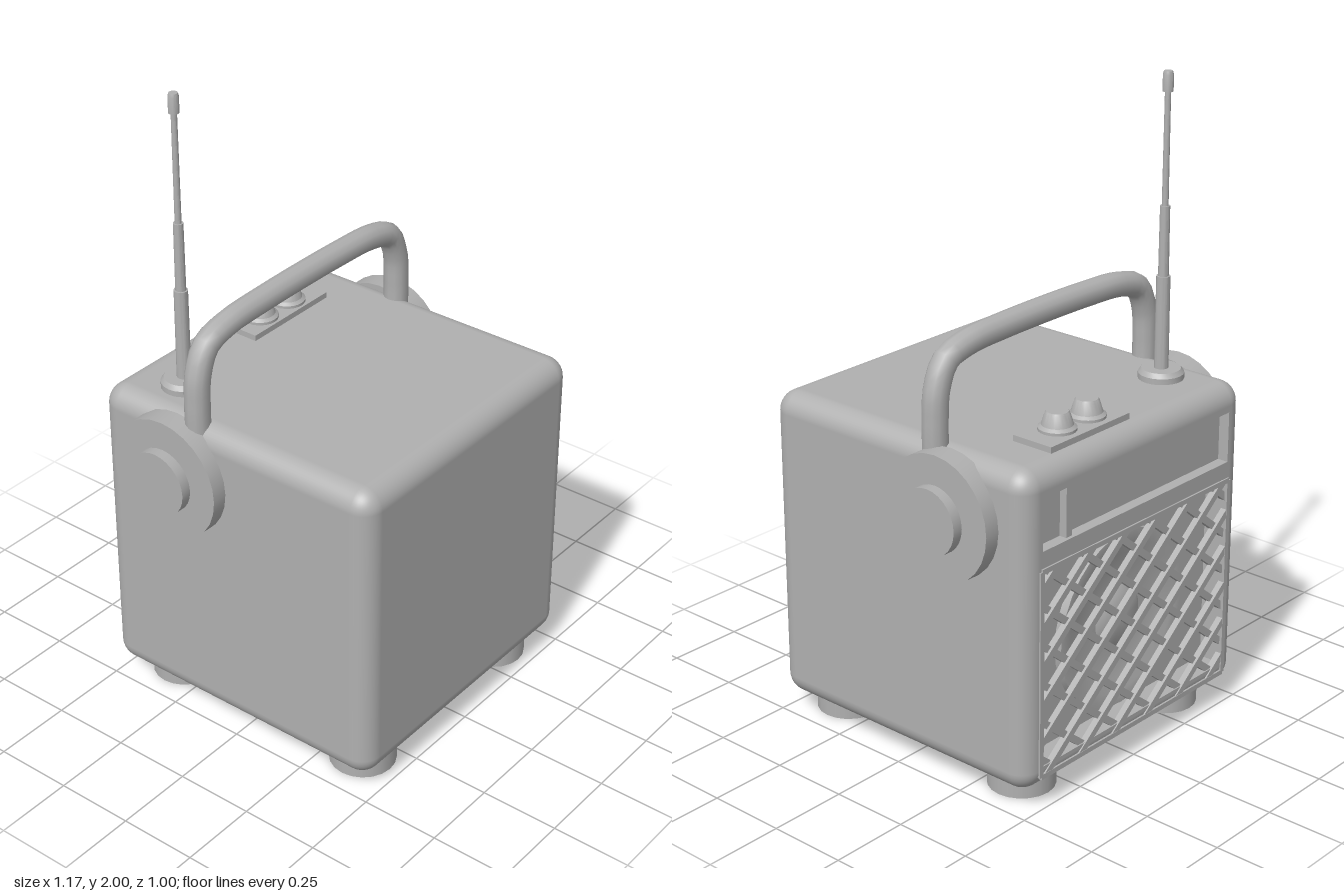
import * as THREE from 'three';
import { RoundedBoxGeometry } from 'three/addons/geometries/RoundedBoxGeometry.js';
import { toCreasedNormals } from 'three/addons/utils/BufferGeometryUtils.js';

const grey = new THREE.MeshStandardMaterial({ color: 0xb0b0b0 });
grey.name = 'plain grey';

function add(parent, name, geometry, x = 0, y = 0, z = 0) {
  const mesh = new THREE.Mesh(geometry, grey);
  mesh.name = name;
  mesh.position.set(x, y, z);
  parent.add(mesh);
  return mesh;
}

const box = (w, h, d) => new THREE.BoxGeometry(w, h, d);

// Turned part from [radius, height] pairs, with sharp edges kept
function turned(profile, sides = 24) {
  const points = profile.map(([r, y]) => new THREE.Vector2(r, y));
  return toCreasedNormals(new THREE.LatheGeometry(points, sides), 0.5);
}

// Rectangle outline, used as a shape or as a hole
function rectangle(Type, x, y0, y1) {
  const path = new Type();
  path.moveTo(-x, y0).lineTo(x, y0).lineTo(x, y1).lineTo(-x, y1).closePath();
  return path;
}

// Rounded case without its flat back face, which is replaced by the frame
function openCase() {
  const source = new RoundedBoxGeometry(1, 1, 1, 5, 0.065);
  const solid = source.index ? source.toNonIndexed() : source;
  const p = solid.attributes.position, n = solid.attributes.normal;
  const positions = [], normals = [];
  for (let i = 0; i < p.count; i += 3) {
    if ([0, 1, 2].every((k) => p.getZ(i + k) < -0.4999)) continue;
    for (let k = i; k < i + 3; k++) {
      positions.push(p.getX(k), p.getY(k), p.getZ(k));
      normals.push(n.getX(k), n.getY(k), n.getZ(k));
    }
  }
  const geometry = new THREE.BufferGeometry();
  geometry.setAttribute('position', new THREE.Float32BufferAttribute(positions, 3));
  geometry.setAttribute('normal', new THREE.Float32BufferAttribute(normals, 3));
  return geometry;
}

function buildBody(root) {
  const body = new THREE.Group();
  body.name = 'body';
  root.add(body);
  add(body, 'case', openCase(), 0, 0.565, 0);

  // Frame with the dial window and the speaker opening
  const frame = rectangle(THREE.Shape, 0.435, 0.13, 1.0);
  frame.holes.push(rectangle(THREE.Path, 0.425, 0.82, 0.98), rectangle(THREE.Path, 0.425, 0.14, 0.765));
  add(body, 'backFrame', new THREE.ExtrudeGeometry(frame, { depth: 0.08, bevelEnabled: false }), 0, 0, -0.5);
  add(body, 'speakerBoard', box(0.87, 0.65, 0.01), 0, 0.45, -0.417);
  add(body, 'dialPanel', box(0.86, 0.17, 0.01), 0, 0.9, -0.46);
  add(body, 'dialNeedle', box(0.025, 0.16, 0.025), 0.3, 0.9, -0.477);

  // Speaker ring and dome behind the grille
  const speaker = add(body, 'speaker', turned([
    [0.28, 0], [0.28, 0.025], [0.24, 0.025], [0.2, 0.008], [0.1, 0.004], [0.08, 0.018], [0, 0.028],
  ], 32), 0, 0.44, -0.422);
  speaker.rotation.x = -Math.PI / 2;
}

// Diamond lattice clipped to a rectangle, with a thin border
function buildGrille(root) {
  const grille = new THREE.Group();
  grille.name = 'speakerGrille';
  grille.position.set(0, 0.435, -0.49);
  root.add(grille);
  const w = 0.43, h = 0.325, slope = 0.8;
  for (const side of [-1, 1]) {
    const m = slope * side;
    for (let i = -5; i <= 5; i++) {
      const c = i * 0.122;
      const limits = [(-h - c) / m, (h - c) / m].sort((a, b) => a - b);
      const x0 = Math.max(-w, limits[0]), x1 = Math.min(w, limits[1]);
      if (x1 - x0 < 0.02) continue;
      const mid = (x0 + x1) / 2;
      const bar = add(grille, 'grilleBar', box((x1 - x0) * Math.hypot(1, m), 0.022, 0.02),
        mid, m * mid + c, side * 0.004);
      bar.rotation.z = Math.atan(m);
    }
    add(grille, 'grilleSide', box(0.016, 2 * h, 0.03), side * w, 0, 0);
    add(grille, 'grilleRail', box(2 * w, 0.016, 0.03), 0, side * h, 0);
  }
}

function buildHandle(root) {
  const half = [[0.468, 1.0], [0.47, 1.12], [0.462, 1.22], [0.425, 1.295], [0.34, 1.324], [0.18, 1.334]];
  const points = [
    ...half.map(([x, y]) => new THREE.Vector3(-x, y, -0.14)),
    ...half.reverse().map(([x, y]) => new THREE.Vector3(x, y, -0.14)),
  ];
  add(root, 'handle', new THREE.TubeGeometry(new THREE.CatmullRomCurve3(points), 48, 0.039, 12));
}

function buildSides(root) {
  for (const side of [-1, 1]) {
    // Stepped hub on each side
    const hub = add(root, 'sideHub', turned([
      [0, -0.02], [0.193, -0.02], [0.193, 0.05], [0.102, 0.05], [0.102, 0.083], [0, 0.083],
    ], 28), side * 0.5, 0.875, -0.21);
    hub.rotation.z = -side * Math.PI / 2;
    // Feet
    for (const z of [-0.348, 0.363]) {
      add(root, 'foot', new THREE.CylinderGeometry(0.103, 0.103, 0.075, 20), side * 0.338, 0.0375, z);
    }
  }
}

function buildTop(root) {
  // Telescopic antenna
  add(root, 'antenna', turned([
    [0.07, 1.06], [0.07, 1.083], [0.06, 1.097], [0.022, 1.097], [0.021, 1.385], [0.016, 1.385],
    [0.015, 1.6], [0.01, 1.6], [0.009, 1.94], [0.016, 1.94], [0.016, 1.99], [0.013, 2.0], [0, 2.0],
  ], 20), -0.347, 0, -0.3);

  // Control plate with two knobs
  add(root, 'controlPlate', box(0.345, 0.025, 0.14), 0.15, 1.071, -0.37);
  for (const x of [0.078, 0.208]) {
    add(root, 'knob', turned([
      [0.057, 1.08], [0.057, 1.092], [0.047, 1.1], [0.036, 1.135], [0.032, 1.14], [0, 1.14],
    ]), x, 0, -0.365);
  }
}

export function createModel() {
  const root = new THREE.Group();
  root.name = 'portableRadio';
  buildBody(root);
  buildGrille(root);
  buildHandle(root);
  buildSides(root);
  buildTop(root);
  return root;
}
